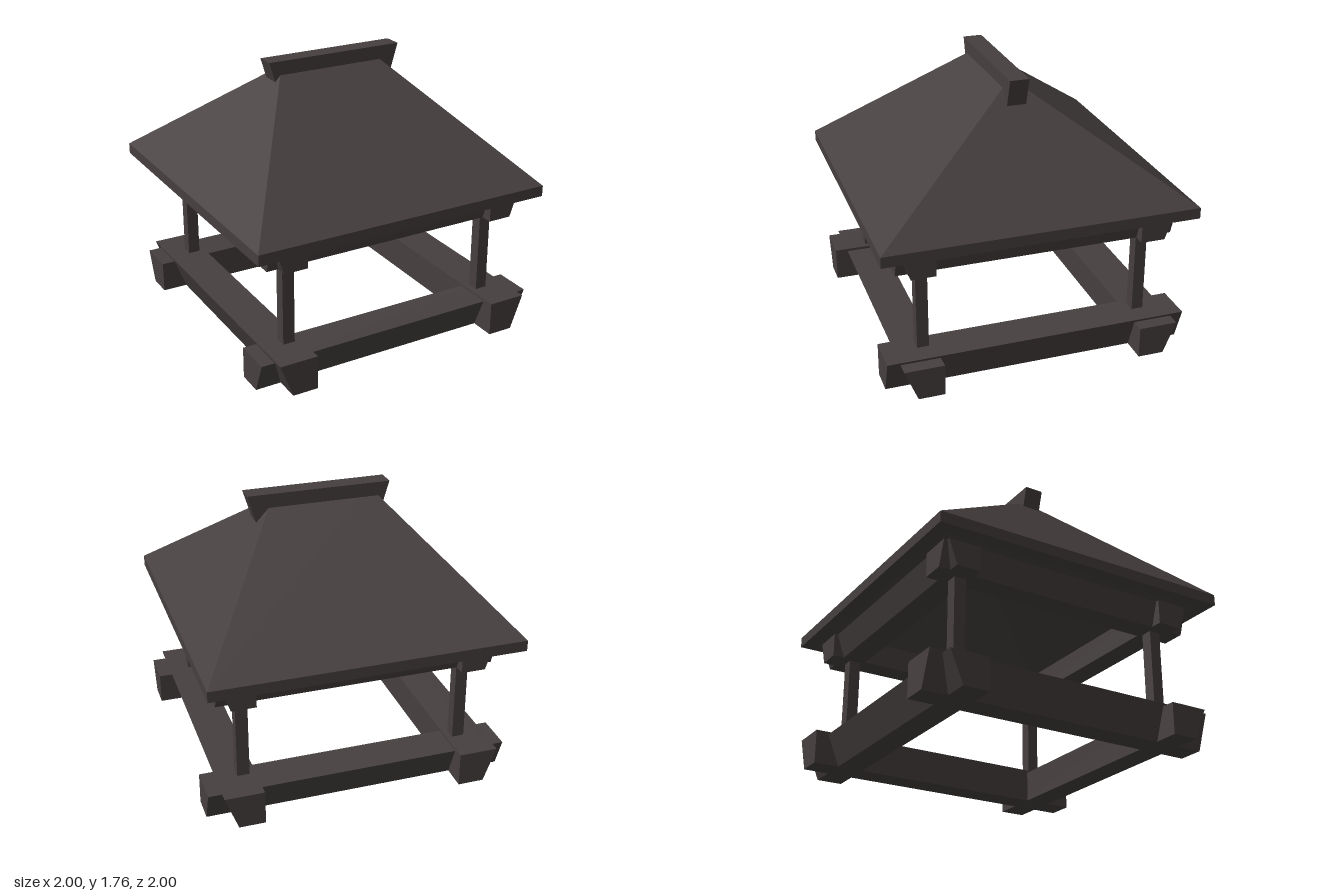
import * as THREE from 'three';

const wood = new THREE.MeshStandardMaterial({ color: 0x463f3f });
wood.name = 'dark wood';

function mesh(name, geometry) {
  const m = new THREE.Mesh(geometry, wood);
  m.name = name;
  return m;
}

// Beam with a vertical inner face and an outer face that leans outward
function beam(name, inner, outerLow, outerTop, y0, y1, length, angle) {
  const section = new THREE.Shape([
    new THREE.Vector2(inner, y0), new THREE.Vector2(outerLow, y0),
    new THREE.Vector2(outerTop, y1), new THREE.Vector2(inner, y1),
  ]);
  const g = new THREE.ExtrudeGeometry(section, { depth: length, bevelEnabled: false });
  g.translate(0, 0, -length / 2);
  g.rotateY(angle);
  return mesh(name, g);
}

// Rectangular rings [halfX, y, halfZ] joined by flat walls
function rings(list) {
  const pos = [];
  const corner = ([x, y, z], k) => [[x, y, z], [x, y, -z], [-x, y, -z], [-x, y, z]][k % 4];
  for (let i = 0; i < list.length - 1; i++) {
    for (let k = 0; k < 4; k++) {
      const a = corner(list[i], k), b = corner(list[i], k + 1);
      const c = corner(list[i + 1], k + 1), d = corner(list[i + 1], k);
      pos.push(...a, ...b, ...c, ...a, ...c, ...d);
    }
  }
  const g = new THREE.BufferGeometry();
  g.setAttribute('position', new THREE.Float32BufferAttribute(pos, 3));
  g.computeVertexNormals();
  return g;
}

export function createModel() {
  const model = new THREE.Group();

  // Frame: two rings of crossing beams and four posts
  const frame = new THREE.Group();
  frame.name = 'frame';
  frame.position.x = 0.027;
  for (let k = 0; k < 4; k++) {
    const alongZ = k % 2 === 0;
    const angle = k * Math.PI / 2;
    frame.add(beam('baseBeam', 0.638, 0.805, 0.888, 0, alongZ ? 0.22 : 0.203, 1.94, angle));
    frame.add(beam('upperBeam', 0.653, 0.808, 0.862, 0.768, 0.925, 1.768, angle));
  }
  for (const sx of [-1, 1]) {
    for (const sz of [-1, 1]) {
      const post = mesh('post', new THREE.BoxGeometry(0.078, 0.6, 0.075));
      post.position.set(sx * 0.716, 0.49, sz * 0.714);
      frame.add(post);
    }
  }
  model.add(frame);

  // Hollow hipped roof: inner slopes, underside rim, fascia, outer slopes
  const roof = mesh('roof', rings([
    [0.26, 1.585, 0], [0.91, 0.92, 0.91], [0.996, 0.92, 0.998],
    [0.996, 0.99, 0.998], [0.32, 1.712, 0],
  ]));
  roof.position.x = -0.003;
  model.add(roof);

  // Ridge cap with flared ends
  const cap = new THREE.ExtrudeGeometry(new THREE.Shape([
    new THREE.Vector2(-0.385, 1.58), new THREE.Vector2(0.44, 1.58),
    new THREE.Vector2(0.493, 1.757), new THREE.Vector2(-0.438, 1.757),
  ]), { depth: 0.122, bevelEnabled: false });
  cap.translate(0, 0, -0.061);
  model.add(mesh('ridgeCap', cap));

  return model;
}
